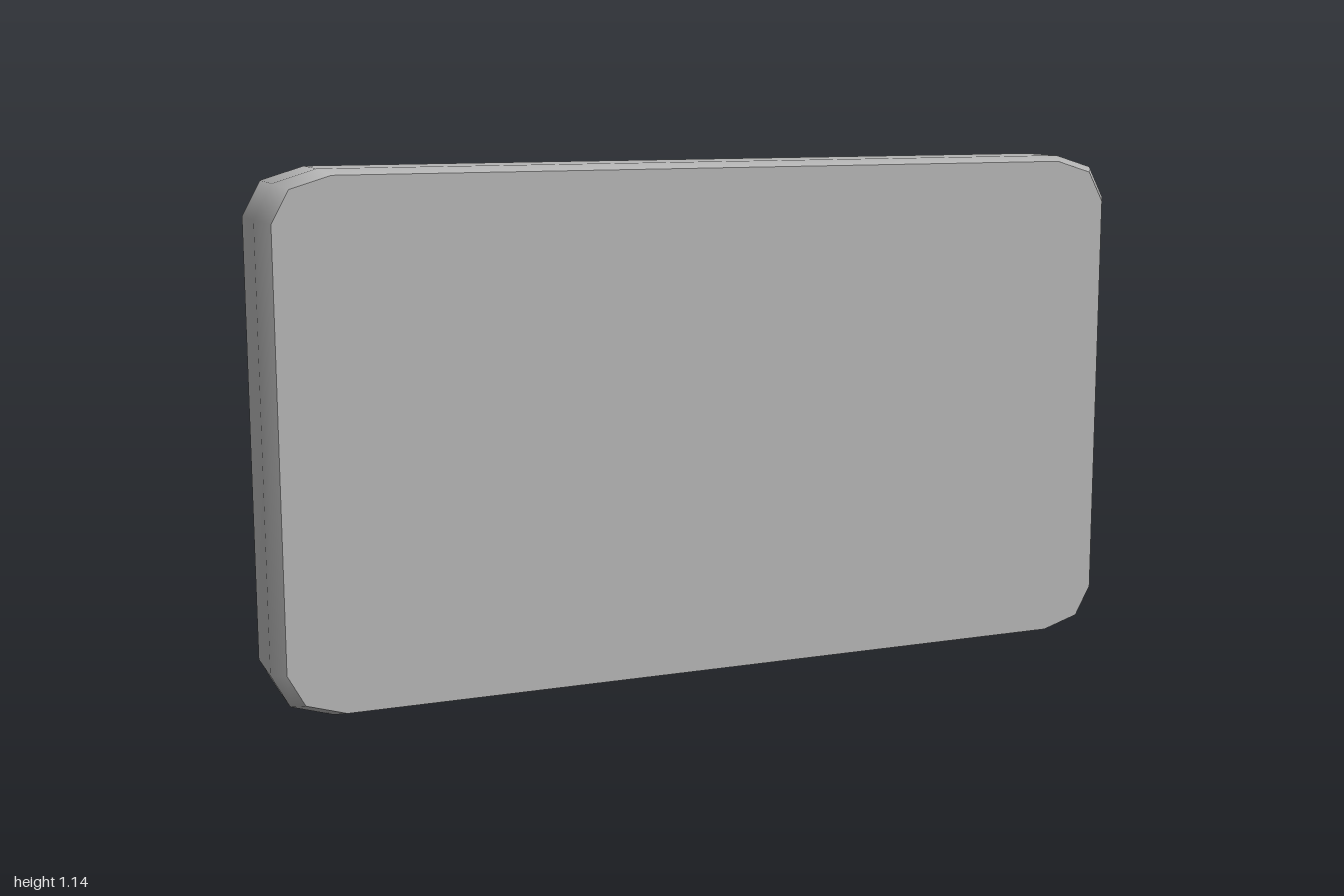
import * as THREE from 'three';

const MID = 0.5725; // height of the panel centre
const FLOOR_Z = -0.017; // back recess floor
const POCKET_Z = 0.092; // bottom of the pocket cut into that floor

// Rounded-rectangle outline, counter-clockwise, three points per corner
function outline(hx, hy, cx, cy) {
  const corner = [[hx, hy - cy], [hx - cx * 0.3, hy - cy * 0.28], [hx - cx, hy]];
  const flip = (sx, sy) => corner.map(([x, y]) => new THREE.Vector2(x * sx, y * sy));
  return [...flip(1, 1), ...flip(-1, 1).reverse(), ...flip(-1, -1), ...flip(1, -1).reverse()];
}

// Closed frame surface through a list of outlines running front to back
function loft(rings) {
  const pos = [], idx = [], n = rings[0].pts.length;
  rings.forEach((r) => r.pts.forEach((p) => pos.push(p.x, p.y, r.z)));
  for (let j = 0; j < rings.length - 1; j++) {
    for (let i = 0; i < n; i++) {
      const k = (i + 1) % n;
      const a = j * n + i, b = j * n + k, c = b + n, d = a + n;
      idx.push(a, d, c, a, c, b);
    }
  }
  const g = new THREE.BufferGeometry();
  g.setAttribute('position', new THREE.Float32BufferAttribute(pos, 3));
  g.setIndex(idx);
  g.computeVertexNormals();
  return g;
}

export function createModel() {
  const group = new THREE.Group();
  const grey = new THREE.MeshStandardMaterial({ color: 0xb4b4b4 });
  grey.name = 'plain grey';
  const add = (name, geometry, x = 0, y = 0, z = 0) => {
    const mesh = new THREE.Mesh(geometry, grey);
    mesh.name = name;
    mesh.position.set(x, MID + y, z);
    group.add(mesh);
    return mesh;
  };

  // Rim: [x inset, y inset, z, corner scale] from front edge round to the recess
  const profile = [
    [0.027, 0.012, 0.1, 0.95],
    [0, 0, 0.06, 1],
    [0, 0, -0.07, 1],
    [0.02, 0.018, -0.09, 0.95],
    [0.065, 0.06, -0.1, 0.85],
    [0.095, 0.085, -0.1, 0.75],
    [0.125, 0.112, -0.085, 0.65],
    [0.134, 0.121, -0.06, 0.6],
    [0.136, 0.123, FLOOR_Z, 0.6],
  ];
  const rings = profile.map(([ix, iy, z, s]) => ({
    pts: outline(1 - ix, MID - iy, 0.13 * s, 0.1 * s), z,
  }));
  add('rim', loft(rings));

  // Flat front face
  add('frontPanel', new THREE.ShapeGeometry(new THREE.Shape(rings[0].pts)), 0, 0, 0.1);

  // Recessed back with a rectangular pocket
  const px = 0.704, py = 0.264;
  const back = new THREE.Shape(rings[rings.length - 1].pts);
  back.holes.push(new THREE.Path([
    new THREE.Vector2(-px, -py), new THREE.Vector2(-px, py),
    new THREE.Vector2(px, py), new THREE.Vector2(px, -py),
  ]));
  add('backPanel', new THREE.ExtrudeGeometry(back, {
    depth: POCKET_Z - FLOOR_Z, bevelEnabled: false,
  }), 0, 0, FLOOR_Z);
  add('pocketFloor', new THREE.BoxGeometry(px * 2, py * 2, 0.006), 0, 0, POCKET_Z + 0.003);

  // Two tabs reaching into the pocket, each with one splayed inner corner
  const tabEnd = 0.187, tabLength = px - tabEnd, depth = POCKET_Z - FLOOR_Z;
  for (const side of [1, -1]) {
    const g = new THREE.BoxGeometry(tabLength, 0.074, depth);
    const p = g.attributes.position;
    for (let i = 0; i < p.count; i++) {
      if (p.getX(i) < 0 && p.getY(i) < 0 && p.getZ(i) > 0) {
        p.setXY(i, p.getX(i) - 0.02, p.getY(i) - 0.025);
      }
    }
    g.computeVertexNormals();
    const tab = add(side > 0 ? 'leftTab' : 'rightTab', g,
      side * (tabEnd + tabLength / 2), 0, (POCKET_Z + FLOOR_Z) / 2);
    if (side < 0) tab.rotation.z = Math.PI;
  }

  // Round-ended rods lying in the slots
  for (const side of [1, -1]) {
    const rod = new THREE.CapsuleGeometry(0.021, 1.11, 6, 16);
    rod.rotateZ(Math.PI / 2);
    add(side > 0 ? 'upperRod' : 'lowerRod', rod, 0, side * 0.152, 0.03);
  }
  return group;
}
